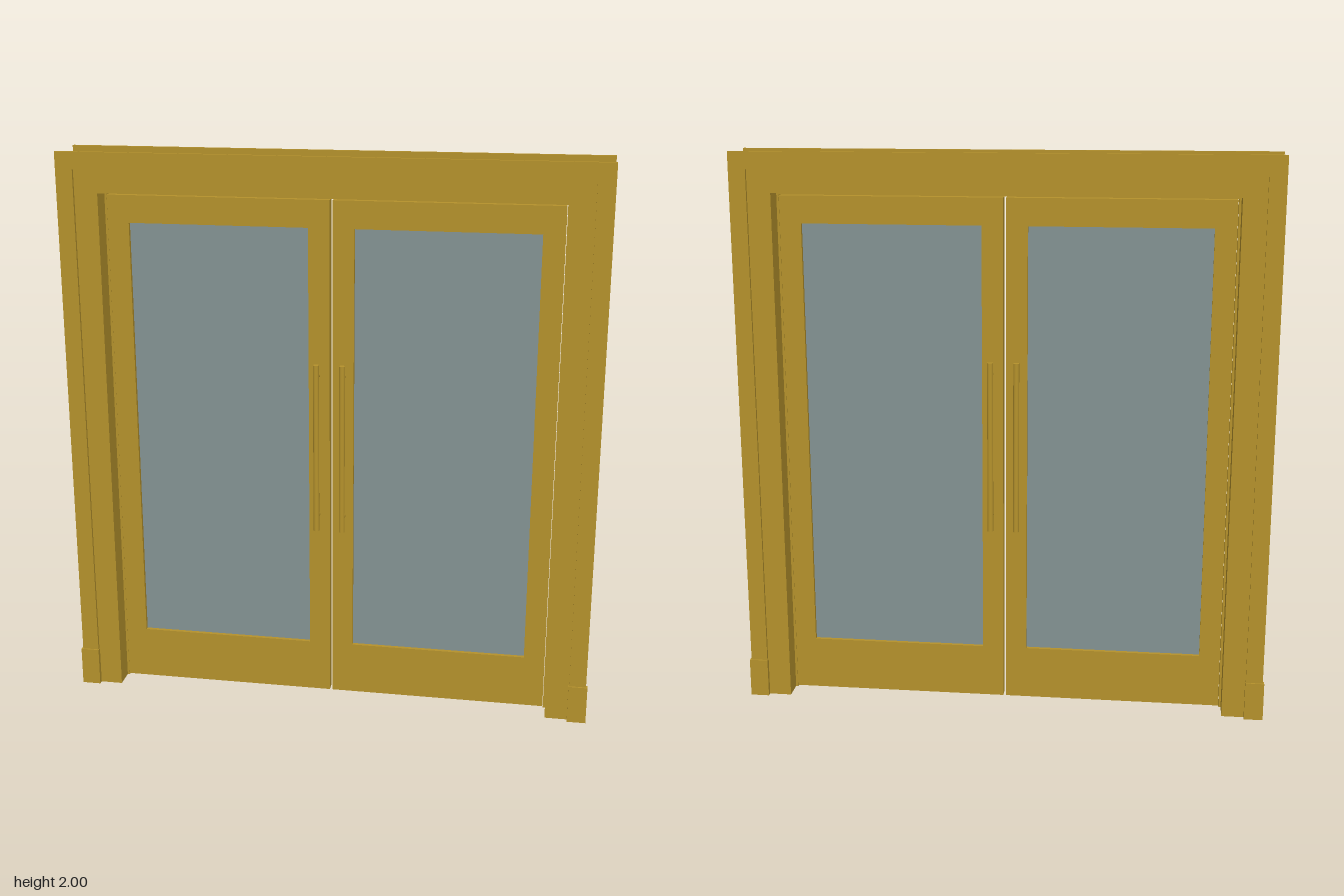
import * as THREE from 'three';

const brass = new THREE.MeshStandardMaterial({ color: 0xb5922c });
const glass = new THREE.MeshStandardMaterial({ color: 0x849393 });

function add(parent, name, geometry, material, x = 0, y = 0, z = 0) {
  const mesh = new THREE.Mesh(geometry, material);
  mesh.name = name;
  mesh.position.set(x, y, z);
  parent.add(mesh);
  return mesh;
}

// Three-sided surround standing on the floor, extruded from z0 to z1
function surround(outerX, outerY, innerX, innerY, z0, z1) {
  const shape = new THREE.Shape([
    [-outerX, 0], [-innerX, 0], [-innerX, innerY], [innerX, innerY],
    [innerX, 0], [outerX, 0], [outerX, outerY], [-outerX, outerY],
  ].map(([x, y]) => new THREE.Vector2(x, y)));
  const geo = new THREE.ExtrudeGeometry(shape, { depth: z1 - z0, bevelEnabled: false });
  return geo.translate(0, 0, z0);
}

function rectangle(path, x0, y0, x1, y1) {
  path.moveTo(x0, y0);
  path.lineTo(x1, y0);
  path.lineTo(x1, y1);
  path.lineTo(x0, y1);
  path.closePath();
  return path;
}

// Round pull bar on two standoffs, on the face given by side (+1 front, -1 back)
function pullHandle(x, side) {
  const handle = new THREE.Group();
  handle.name = 'pullHandle';
  const faceZ = 0.02, barZ = 0.065;
  add(handle, 'handleBar', new THREE.CylinderGeometry(0.0105, 0.0105, 0.615, 20), brass, x, 0.973, side * barZ);
  for (const y of [0.713, 1.233]) {
    const post = new THREE.CylinderGeometry(0.007, 0.007, barZ - faceZ, 14).rotateX(Math.PI / 2);
    add(handle, 'handlePost', post, brass, x, y, side * (faceZ + barZ) / 2);
  }
  return handle;
}

// One leaf: framed panel with a glass pane; s is -1 or +1 in x
function doorLeaf(s) {
  const leaf = new THREE.Group();
  leaf.name = s > 0 ? 'leftDoor' : 'rightDoor';
  const [x0, x1] = s > 0 ? [0.005, 0.788] : [-0.788, -0.005];
  const [g0, g1] = s > 0 ? [0.08, 0.713] : [-0.713, -0.08];
  const shape = rectangle(new THREE.Shape(), x0, 0.008, x1, 1.846);
  shape.holes.push(rectangle(new THREE.Path(), g0, 0.2, g1, 1.75));
  const frame = new THREE.ExtrudeGeometry(shape, { depth: 0.04, bevelEnabled: false });
  add(leaf, 'doorFrame', frame, brass, 0, 0, -0.02);
  add(leaf, 'glassPane', new THREE.BoxGeometry(g1 - g0, 1.55, 0.012), glass, (g0 + g1) / 2, 0.975, 0);
  for (const side of [-1, 1]) leaf.add(pullHandle(s * 0.046, side));
  return leaf;
}

export function createModel() {
  const model = new THREE.Group();
  model.name = 'doubleDoor';

  // Deep jamb and the thin rebate around the leaves
  add(model, 'jamb', surround(0.88, 1.94, 0.798, 1.86, -0.09, 0.09), brass);
  add(model, 'doorStop', surround(0.798, 1.86, 0.79, 1.849, -0.015, 0.015), brass);

  // Casing and plinth blocks on both faces
  for (const side of [-1, 1]) {
    const z = [side * 0.088, side * 0.101].sort((a, b) => a - b);
    add(model, 'casing', surround(0.94, 2, 0.88, 1.94, z[0], z[1]), brass);
    for (const s of [-1, 1]) {
      add(model, 'plinthBlock', new THREE.BoxGeometry(0.067, 0.14, 0.02), brass, s * 0.9115, 0.07, side * 0.097);
    }
  }

  for (const s of [-1, 1]) model.add(doorLeaf(s));
  return model;
}
